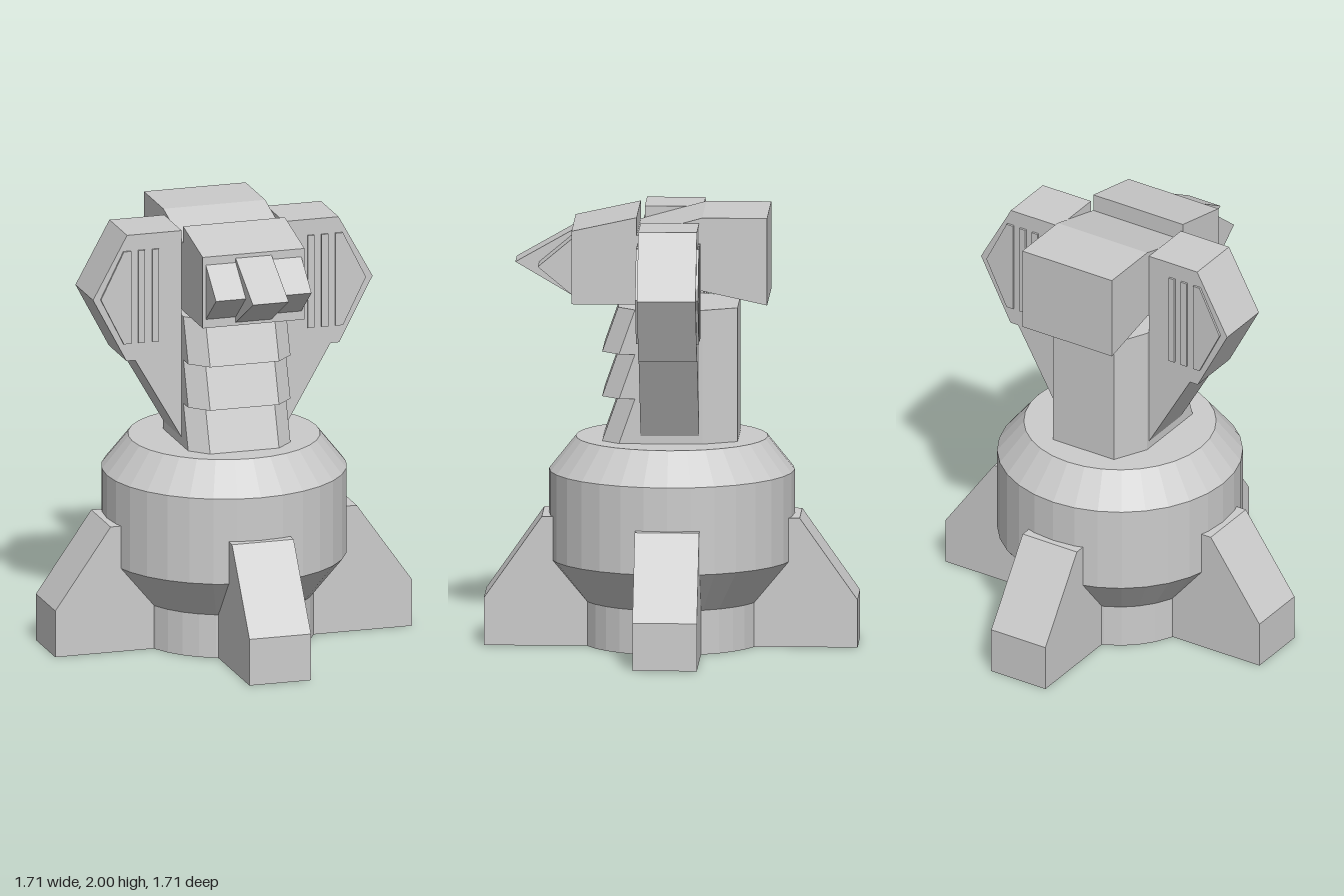
import * as THREE from 'three';
import { ConvexGeometry } from 'three/addons/geometries/ConvexGeometry.js';

const material = new THREE.MeshStandardMaterial({ color: 0xcccccc, flatShading: true });

// Flat outline extruded symmetrically about its own plane
function slab(points, thickness) {
  const shape = new THREE.Shape(points.map(([a, b]) => new THREE.Vector2(a, b)));
  const geometry = new THREE.ExtrudeGeometry(shape, { depth: thickness, bevelEnabled: false });
  return geometry.translate(0, 0, -thickness / 2);
}

// Outline given as (z, y), extruded along x
const sideSlab = (points, width) => slab(points, width).rotateY(-Math.PI / 2);

export function createModel() {
  const model = new THREE.Group();
  model.name = 'pedestalRobot';
  const add = (name, geometry, parent = model) => {
    const mesh = new THREE.Mesh(geometry, material);
    mesh.name = name;
    parent.add(mesh);
    return mesh;
  };

  // Round faceted body
  const profile = [[0, 0], [0.41, 0], [0.41, 0.205], [0.562, 0.395], [0.562, 0.8], [0.44, 0.953], [0, 0.953]];
  add('body', new THREE.LatheGeometry(profile.map(([r, y]) => new THREE.Vector2(r, y)), 32));

  // Four buttress feet
  const footOutline = [[0.2, 0], [0.855, 0], [0.855, 0.22], [0.59, 0.597], [0.2, 0.6]];
  for (let i = 0; i < 4; i++) {
    add('foot', slab(footOutline, 0.295)).rotation.y = i * Math.PI / 2;
  }

  // Neck: three stacked segments flaring forward at their lower edge
  const step = 0.2065;
  for (let i = 0; i < 3; i++) {
    const y = 0.953 + i * step;
    const points = [];
    for (const [level, flare] of [[y, 0.073], [y + step, 0]]) {
      for (const s of [-1, 1]) {
        points.push(
          new THREE.Vector3(s * 0.165, level, 0.24 + flare),
          new THREE.Vector3(s * 0.245, level, 0.16 + flare),
          new THREE.Vector3(s * 0.245, level, -0.15),
          new THREE.Vector3(s * 0.165, level, -0.307));
      }
    }
    add('neckSegment', new ConvexGeometry(points));
  }

  // Side pods with raised vents on both faces
  const podOutline = [[0.245, 0.99], [0.468, 1.377], [0.51, 1.377], [0.67, 1.68], [0.507, 1.975], [0.245, 1.975]];
  const ventOutlines = [
    [[0.49, 1.46], [0.525, 1.46], [0.635, 1.68], [0.525, 1.9], [0.49, 1.9]],
    [[0.423, 1.46], [0.455, 1.46], [0.455, 1.9], [0.423, 1.9]],
    [[0.357, 1.46], [0.388, 1.46], [0.388, 1.9], [0.357, 1.9]],
  ];
  for (const side of [1, -1]) {
    const mirror = (outline) => outline.map(([x, y]) => [side * x, y]);
    const pod = new THREE.Group();
    pod.name = side > 0 ? 'leftPod' : 'rightPod';
    model.add(pod);
    add('podShell', slab(mirror(podOutline), 0.268), pod);
    for (const outline of ventOutlines) add('podVent', slab(mirror(outline), 0.288), pod);
  }

  // Head: front block, sloped centre and rear block
  const head = new THREE.Group();
  head.name = 'head';
  model.add(head);
  const headWidth = 0.488;
  add('headFront', sideSlab([[0.45, 1.597], [0.45, 1.935], [0.152, 2], [0.152, 1.597]], headWidth), head);
  add('headCentre', sideSlab([[0.152, 1.597], [0.152, 1.917], [-0.148, 2], [-0.148, 1.662]], headWidth), head);
  add('headRear', sideSlab([[-0.148, 1.662], [-0.148, 2], [-0.445, 2], [-0.445, 1.597]], headWidth), head);

  // Pointed wedges on the face
  add('wideWedge', sideSlab([[0.44, 1.63], [0.605, 1.767], [0.44, 1.905]], 0.458), head);
  add('beak', sideSlab([[0.45, 1.612], [0.713, 1.767], [0.45, 1.917]], 0.172), head);

  return model;
}
